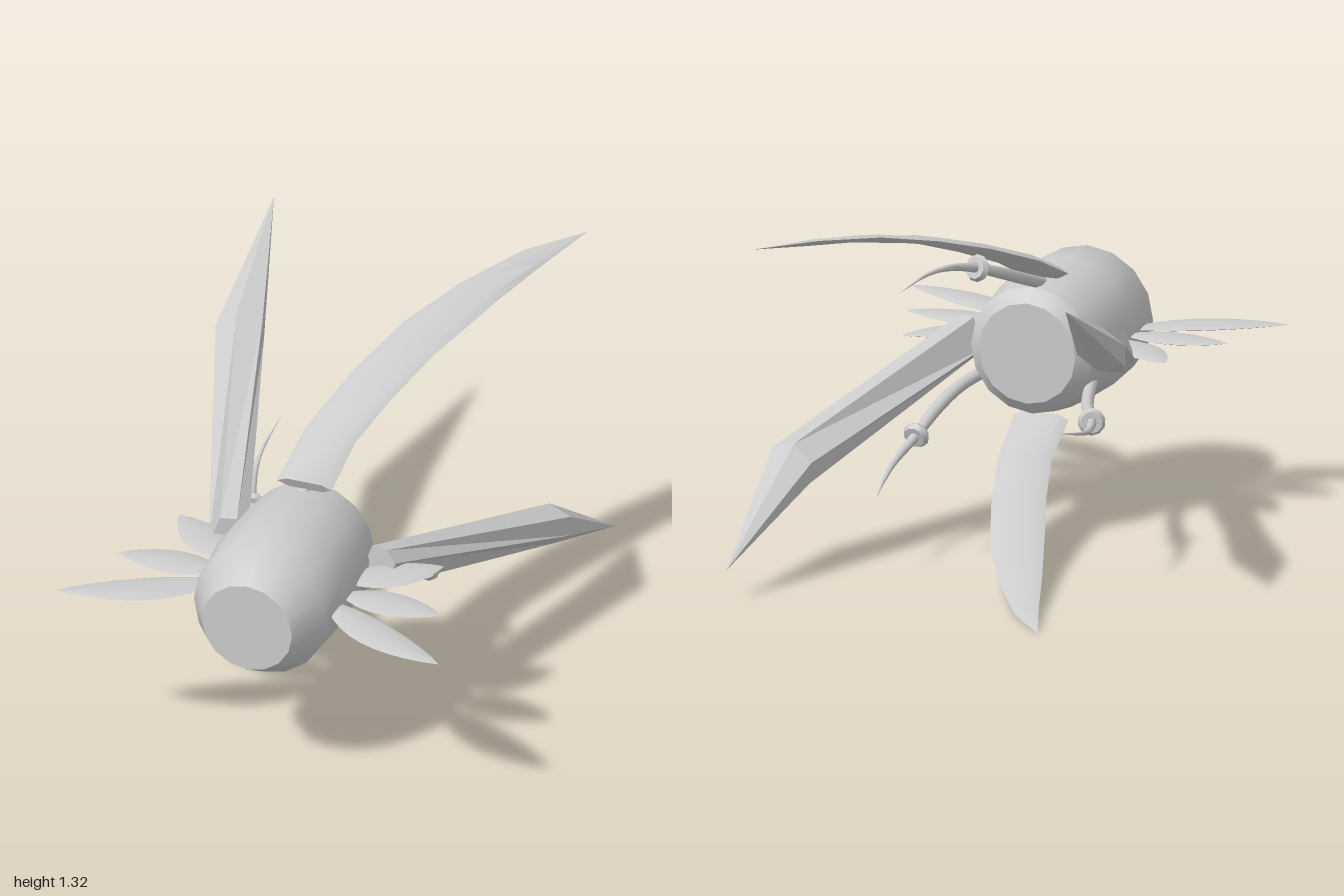
import * as THREE from 'three';
import { toCreasedNormals } from 'three/addons/utils/BufferGeometryUtils.js';

const V = (x, y, z) => new THREE.Vector3(x, y, z);
const gray = new THREE.MeshStandardMaterial({ color: 0xcccccc });
gray.name = 'lightGray';

// Closed solid through cross-section rings; the winding is fixed by signed volume
function loft(rings, crease) {
  const tris = [];
  const add = (a, b, c) => {
    const area = b.clone().sub(a).cross(c.clone().sub(a)).length();
    if (area > 1e-8) tris.push([a, b, c]);
  };
  const n = rings[0].length;
  for (let i = 0; i + 1 < rings.length; i++) {
    for (let j = 0; j < n; j++) {
      const k = (j + 1) % n, p = rings[i], q = rings[i + 1];
      add(p[j], p[k], q[k]);
      add(p[j], q[k], q[j]);
    }
  }
  const last = rings[rings.length - 1];
  for (let j = 1; j + 1 < n; j++) {
    add(rings[0][0], rings[0][j + 1], rings[0][j]);
    add(last[0], last[j], last[j + 1]);
  }
  let volume = 0;
  for (const [a, b, c] of tris) volume += a.dot(b.clone().cross(c));
  const pts = tris.flatMap(([a, b, c]) => (volume < 0 ? [a, c, b] : [a, b, c]));
  const geo = new THREE.BufferGeometry().setFromPoints(pts);
  return toCreasedNormals(geo, crease);
}

// Barrel body along z
function bodyGeometry() {
  const profile = [[0, 0.28], [0.187, 0.28], [0.236, 0.33], [0.256, 0.47], [0.267, 0.65],
    [0.254, 0.87], [0.173, 1.0], [0, 1.0]].map(([r, z]) => new THREE.Vector2(r, -z));
  const geo = new THREE.LatheGeometry(profile.reverse(), 16);
  geo.rotateX(-Math.PI / 2);
  return toCreasedNormals(geo, 0.62);
}

// Curved scythe: paired edge points, hexagonal section
function scytheGeometry() {
  const left = [V(-0.105, 0.273, 0.42), V(-0.08, 0.375, 0.2), V(0, 0.48, -0.07), V(0.1, 0.565, -0.33),
    V(0.23, 0.625, -0.56), V(0.38, 0.658, -0.8), V(0.55, 0.66, -1)];
  const right = [V(0.105, 0.273, 0.42), V(0.12, 0.365, 0.22), V(0.18, 0.445, 0.02), V(0.26, 0.525, -0.2),
    V(0.38, 0.595, -0.53), V(0.46, 0.628, -0.76), V(0.55, 0.66, -1)];
  const mid = left.map((p, i) => p.clone().lerp(right[i], 0.5));
  const rings = mid.map((m, i) => {
    const path = mid[Math.min(i + 1, 6)].clone().sub(mid[Math.max(i - 1, 0)]);
    const half = i === 6 ? 0 : 0.022 - 0.0025 * i;
    const up = right[i].clone().sub(left[i]).cross(path).normalize().multiplyScalar(half);
    const at = (t, s) => left[i].clone().lerp(right[i], t).addScaledVector(up, s);
    return [at(0, 0), at(0.18, 1), at(0.82, 1), at(1, 0), at(0.82, -1), at(0.18, -1)];
  });
  return loft(rings, 0.6);
}

// Straight faceted blade: point-symmetric hexagons, then a point
function bladeGeometry() {
  const section = (cx, cy, cz, half) => [1, -1].flatMap((s) =>
    half.map(([x, y]) => V(cx + s * x, cy + s * y, cz + s * x * 0.25)));
  const tip = V(0.657, -0.55, -1);
  return loft([
    section(0.29, 0, 0.425, [[0.07, 0.035], [0.03, -0.075], [-0.03, -0.075]]),
    section(0.6, -0.275, -0.505, [[0.085, -0.02], [0.01, -0.08], [-0.08, -0.055]]),
    Array(6).fill(tip),
  ], 0.2);
}

const tentaclePath = new THREE.CatmullRomCurve3([
  V(0.2, -0.11, 0.42), V(0.25, -0.14, 0.25), V(0.285, -0.195, 0.1), V(0.305, -0.255, -0.03),
  V(0.32, -0.31, -0.2), V(0.31, -0.34, -0.32), V(0.265, -0.36, -0.52)]);

// Tube that narrows to a point
function tentacleGeometry() {
  const steps = 20;
  const frames = tentaclePath.computeFrenetFrames(steps, false);
  const rings = [];
  for (let i = 0; i <= steps; i++) {
    const t = i / steps;
    const r = 0.023 * Math.min(1, (1 - t) * 1.6);
    const c = tentaclePath.getPointAt(t);
    rings.push(Array.from({ length: 8 }, (_, j) => {
      const a = (j * Math.PI) / 4;
      return c.clone().addScaledVector(frames.normals[i], r * Math.cos(a))
        .addScaledVector(frames.binormals[i], r * Math.sin(a));
    }));
  }
  return loft(rings, 0.9);
}

// Thin leaf in the xz plane, bulging between base and tip
function leafGeometry([bx, bz], [tx, tz], width, bend) {
  const len = Math.hypot(tx - bx, tz - bz);
  const dx = (tx - bx) / len, dz = (tz - bz) / len;
  const rings = [];
  for (let i = 0; i <= 10; i++) {
    const t = i / 10;
    const swell = Math.pow(Math.sin(Math.PI * Math.pow(t, 0.9)), 0.8) * (i % 10 ? 1 : 0);
    const w = (width / 2) * swell;
    const off = bend * Math.sin(Math.PI * t);
    rings.push(Array.from({ length: 8 }, (_, j) => {
      const a = (j * Math.PI) / 4;
      const side = off + w * Math.cos(a);
      return V(bx + dx * len * t - dz * side, 0.011 * swell * Math.sin(a), bz + dz * len * t + dx * side);
    }));
  }
  return loft(rings, 1);
}

export function createModel() {
  const model = new THREE.Group();
  const hub = new THREE.Group();
  hub.name = 'hub';
  hub.position.y = 0.665;
  model.add(hub);
  const add = (name, geo, parent = hub) => {
    const mesh = new THREE.Mesh(geo, gray);
    mesh.name = name;
    parent.add(mesh);
    return mesh;
  };

  add('body', bodyGeometry());

  // Opposite pairs of scythes and blades
  const scythe = scytheGeometry(), blade = bladeGeometry();
  for (const turn of [0, Math.PI]) {
    add('curvedScythe', scythe).rotation.z = turn;
    add('straightBlade', blade).rotation.z = turn;
  }

  // Three tentacles, each with a ring
  const tentacle = tentacleGeometry();
  const ring = toCreasedNormals(new THREE.TorusGeometry(0.03, 0.021, 6, 10), 0.6);
  for (let i = 0; i < 3; i++) {
    const arm = new THREE.Group();
    arm.name = 'tentacleArm';
    arm.rotation.z = (i * Math.PI * 2) / 3;
    hub.add(arm);
    add('tentacle', tentacle, arm);
    const band = add('tentacleRing', ring, arm);
    band.position.set(0.305, -0.255, -0.03);
    band.quaternion.setFromUnitVectors(V(0, 0, 1), V(0.1, -0.35, -0.93).normalize());
  }

  // Three leaves on each side
  const leaves = [
    [[0.2, 0.72], [0.735, 0.995], 0.155, 0.03],
    [[0.23, 0.655], [0.62, 0.67], 0.16, 0],
    [[0.2, 0.575], [0.51, 0.345], 0.165, 0.01],
  ];
  for (const s of [1, -1]) {
    for (const [base, tip, width, bend] of leaves) {
      const geo = leafGeometry([s * base[0], base[1]], [s * tip[0], tip[1]], width, s * bend);
      add(s > 0 ? 'leftLeaf' : 'rightLeaf', geo);
    }
  }
  return model;
}
